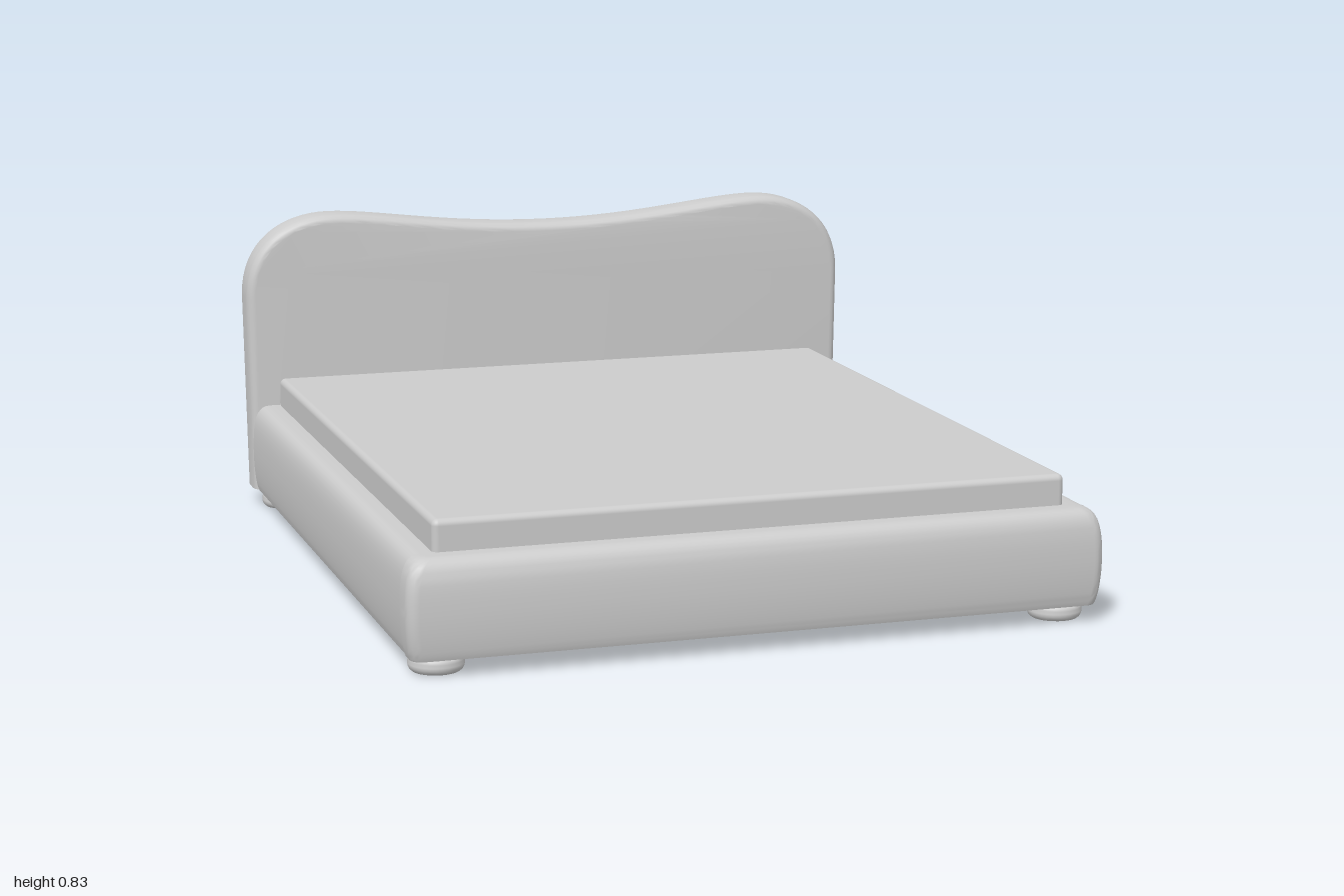
import * as THREE from 'three';
import { toCreasedNormals } from 'three/addons/utils/BufferGeometryUtils.js';
import { RoundedBoxGeometry } from 'three/addons/geometries/RoundedBoxGeometry.js';

const material = new THREE.MeshStandardMaterial({ color: 0xcccccc });
const IN_X = 0.8, IN_Z = 0.92, BACK = -0.89, BASE = 0.045;

// Padded cross-section shared by rails and footboard, hollow below the base panel:
// x is outward offset, y is height
function paddedProfile() {
  const s = new THREE.Shape();
  s.moveTo(0, 0.23);
  s.lineTo(0.06, 0.23);
  s.lineTo(0.06, BASE);
  s.lineTo(0.072, BASE);
  s.bezierCurveTo(0.079, 0.06, 0.085, 0.11, 0.085, 0.16);
  s.bezierCurveTo(0.085, 0.25, 0.075, 0.29, 0.036, 0.29);
  s.lineTo(0, 0.29);
  s.closePath();
  return s;
}

function railGeometry() {
  const depth = IN_Z - BACK;
  const g = new THREE.ExtrudeGeometry(paddedProfile(), { depth, bevelEnabled: false, curveSegments: 10 });
  g.translate(IN_X, 0, -depth / 2);
  return toCreasedNormals(g, 0.6);
}

// Sweeps the padded section along the front and around both ends
function footboardGeometry() {
  const profile = paddedProfile().getPoints(10);
  const arc = 6, pos = [], idx = [];
  const ring = (o) => {
    const w = IN_X + o * 1.04, d = o * 0.08 / 0.085, r = Math.min(0.03, d * 0.6);
    const half = [[w, IN_Z]];
    for (let i = 0; i <= arc; i++) {
      const a = (i / arc) * Math.PI / 2;
      half.push([w - r + r * Math.cos(a), IN_Z + d - r + r * Math.sin(a)]);
    }
    return [...half, ...half.map(([x, z]) => [-x, z]).reverse()];
  };
  const n = ring(0).length;
  for (const p of profile) for (const [x, z] of ring(p.x)) pos.push(x, p.y, z);
  for (let j = 0; j < profile.length - 1; j++) {
    for (let i = 0; i < n - 1; i++) {
      const a = j * n + i, b = a + 1, c = a + n, d = c + 1;
      idx.push(a, c, b, b, c, d);
    }
  }
  const g = new THREE.BufferGeometry();
  g.setAttribute('position', new THREE.Float32BufferAttribute(pos, 3));
  g.setIndex(idx);
  return toCreasedNormals(g.toNonIndexed(), 0.6);
}

// Wavy-topped padded headboard with a flat underside
function headboardGeometry() {
  const s = new THREE.Shape();
  s.moveTo(-0.884, 0);
  s.lineTo(0.884, 0);
  s.lineTo(0.893, 0.6);
  s.bezierCurveTo(0.893, 0.75, 0.78, 0.83, 0.64, 0.83);
  s.bezierCurveTo(0.5, 0.83, 0.3, 0.78, 0, 0.78);
  s.bezierCurveTo(-0.3, 0.78, -0.5, 0.83, -0.64, 0.83);
  s.bezierCurveTo(-0.78, 0.83, -0.893, 0.75, -0.893, 0.6);
  s.closePath();
  const bevel = 0.032, total = 0.112;
  const g = new THREE.ExtrudeGeometry(s, {
    depth: total - 2 * bevel, curveSegments: 16, bevelEnabled: true, bevelSegments: 6,
    bevelThickness: bevel, bevelSize: 0.024, bevelOffset: -0.024,
  });
  g.translate(0, 0, -0.999 + bevel);
  const p = g.attributes.position;
  for (let i = 0; i < p.count; i++) p.setY(i, Math.max(p.getY(i), BASE));
  return toCreasedNormals(g, 0.5);
}

function footGeometry() {
  const s = new THREE.Path();
  s.moveTo(0, 0);
  s.lineTo(0.052, 0);
  s.bezierCurveTo(0.074, 0, 0.074, 0.04, 0.054, 0.041);
  s.lineTo(0.05, 0.048);
  s.lineTo(0, 0.048);
  return toCreasedNormals(new THREE.LatheGeometry(s.getPoints(8), 28), 0.6);
}

export function createModel() {
  const model = new THREE.Group();
  const add = (name, geometry, x = 0, y = 0, z = 0) => {
    const mesh = new THREE.Mesh(geometry, material);
    mesh.name = name;
    mesh.position.set(x, y, z);
    model.add(mesh);
    return mesh;
  };
  const midZ = (IN_Z + BACK) / 2, length = IN_Z - BACK;

  // Headboard with a seam across its back
  add('headboard', headboardGeometry());
  add('headboardSeam', new THREE.BoxGeometry(1.74, 0.004, 0.004), 0, 0.33, -0.998);

  // Upholstered frame
  const rail = railGeometry();
  add('leftRail', rail, 0, 0, midZ);
  add('rightRail', rail, 0, 0, midZ).rotation.y = Math.PI;
  add('footboard', footboardGeometry());

  // Mattress on its base panel
  add('mattress', new RoundedBoxGeometry(1.614, 0.13, length, 4, 0.016), 0, 0.303, midZ + 0.002);
  add('basePanel', new THREE.BoxGeometry(1.72, 0.015, length + 0.055), 0, 0.2325, midZ + 0.0275);

  // Ledges inside the rails and the row of slat holders down the middle
  const ledge = new THREE.BoxGeometry(0.02, 0.025, length);
  for (const side of [1, -1]) add('railLedge', ledge, side * 0.81, 0.215, midZ);
  const holder = new THREE.BoxGeometry(0.1, 0.012, 0.065);
  const count = 15;
  for (let i = 0; i < count; i++) add('slatHolder', holder, 0, 0.222, midZ + 0.05 + (i / (count - 1) - 0.5) * 1.54);

  // Bun feet and the central support leg
  const foot = footGeometry();
  for (const x of [0.797, -0.797]) for (const z of [0.9, -0.872]) add('foot', foot, x, 0, z);
  add('centreLeg', new THREE.CylinderGeometry(0.016, 0.011, 0.226, 16), 0, 0.113, 0.03);

  return model;
}
